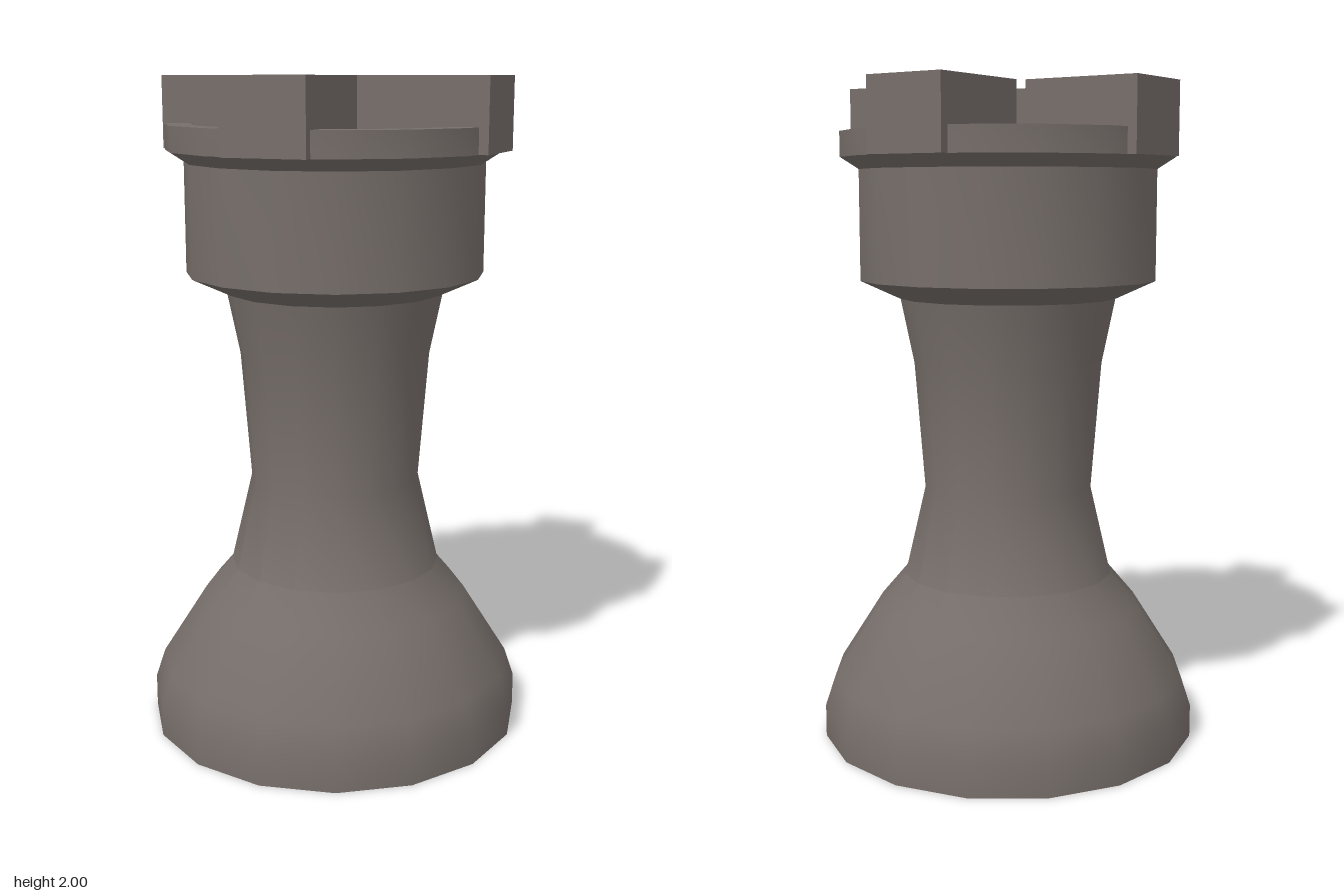
import * as THREE from 'three';
import { toCreasedNormals } from 'three/addons/utils/BufferGeometryUtils.js';

const SIDES = 16;

export function createModel() {
  const group = new THREE.Group();
  const material = new THREE.MeshStandardMaterial({ color: 0x766e6a });

  // Turned part: profile of [radius, height] pairs, sharp only at strong bends
  function turned(name, profile) {
    const points = profile.map(([r, y]) => new THREE.Vector2(r, y));
    const geometry = toCreasedNormals(new THREE.LatheGeometry(points, SIDES), 0.55);
    const mesh = new THREE.Mesh(geometry, material);
    mesh.name = name;
    group.add(mesh);
  }

  // Flared base and waisted neck
  turned('baseAndNeck', [
    [0, 0], [0.58, 0], [0.58, 0.1], [0.55, 0.19], [0.41, 0.41], [0.325, 0.51],
    [0.26, 0.785], [0.29, 1.17], [0.33, 1.365],
  ]);

  // Collar, flared rim and stepped recess inside the top
  turned('towerHead', [
    [0.33, 1.365], [0.45, 1.42], [0.45, 1.75], [0.505, 1.785], [0.505, 1.86],
    [0.43, 1.86], [0.33, 1.76], [0.325, 1.71], [0.28, 1.68], [0.26, 1.6], [0, 1.6],
  ]);

  // Four battlement blocks around the rim
  const inner = 0.145, outer = 0.508, bottom = 1.785, top = 2;
  const block = new THREE.BoxGeometry(0.254, top - bottom, outer - inner);
  block.translate(0, (top + bottom) / 2, (inner + outer) / 2);
  ['front', 'left', 'back', 'right'].forEach((side, i) => {
    const mesh = new THREE.Mesh(block, material);
    mesh.name = side + 'Battlement';
    mesh.rotation.y = (i * Math.PI) / 2;
    group.add(mesh);
  });

  return group;
}
